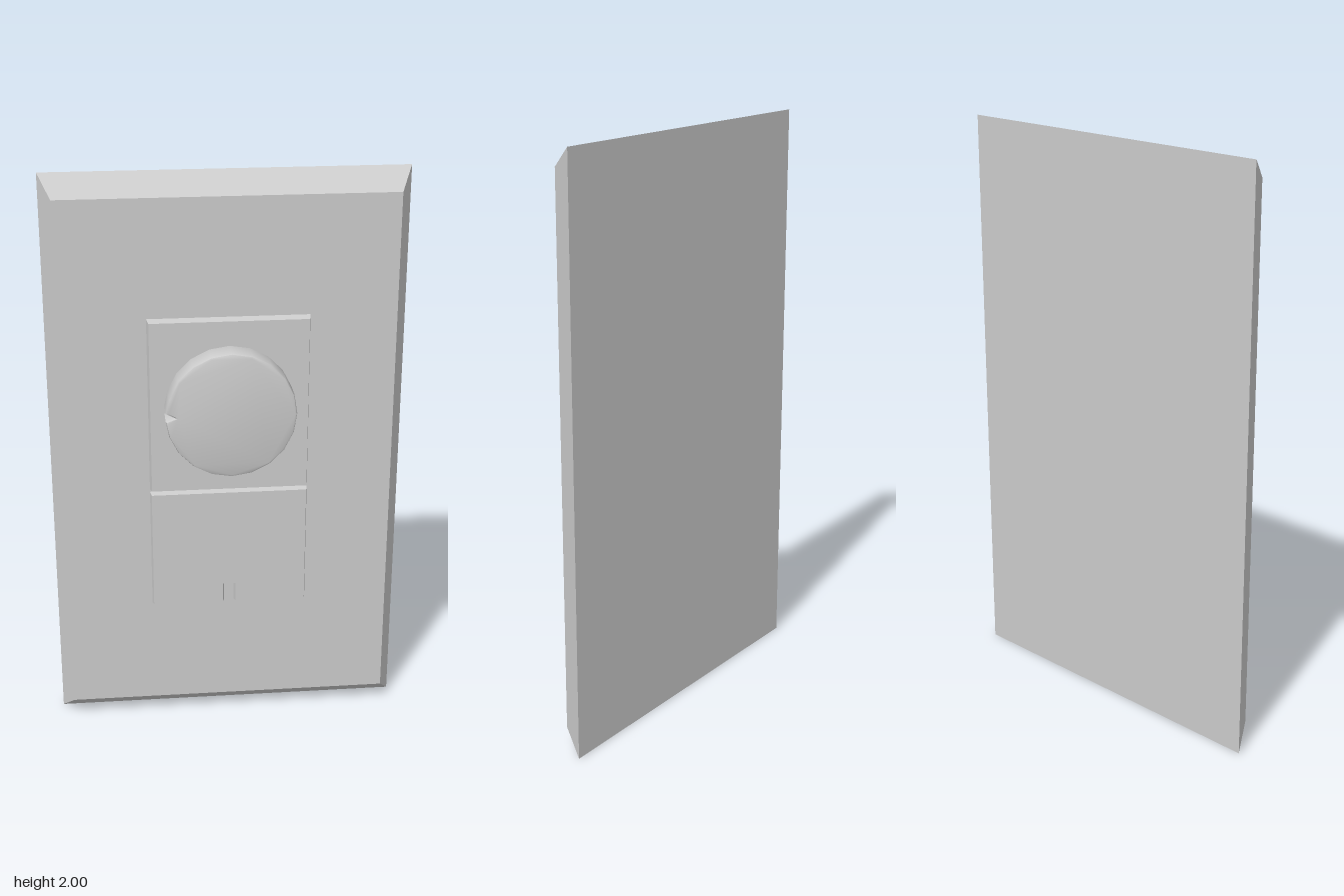
import * as THREE from 'three';
import { toCreasedNormals } from 'three/addons/utils/BufferGeometryUtils.js';

const material = new THREE.MeshStandardMaterial({ color: 0xcccccc });

function part(name, geometry, x, y, z) {
  const mesh = new THREE.Mesh(geometry, material);
  mesh.name = name;
  mesh.position.set(x, y, z);
  return mesh;
}

// Box whose front face is inset by insetX and insetY on every side
function taperedBox(w, h, d, insetX, insetY) {
  const geometry = new THREE.BoxGeometry(w, h, d);
  const p = geometry.attributes.position;
  for (let i = 0; i < p.count; i++) {
    if (p.getZ(i) > 0) {
      p.setX(i, p.getX(i) - Math.sign(p.getX(i)) * insetX);
      p.setY(i, p.getY(i) - Math.sign(p.getY(i)) * insetY);
    }
  }
  const flat = geometry.toNonIndexed();
  flat.computeVertexNormals();
  return flat;
}

function shapeFrom(points) {
  return new THREE.Shape(points.map(([x, y]) => new THREE.Vector2(x, y)));
}

// Round knob with a small pointer notch on its -x edge
function knobGeometry(radius, sides) {
  const points = [];
  for (let i = 0; i < sides; i++) {
    const a = (i / sides) * Math.PI * 2;
    if (i === sides / 2) {
      points.push([-radius, 0.014], [-radius + 0.03, 0], [-radius, -0.014]);
    } else {
      points.push([Math.cos(a) * radius, Math.sin(a) * radius]);
    }
  }
  const geometry = new THREE.ExtrudeGeometry(shapeFrom(points), {
    depth: 0.08, bevelThickness: 0.01, bevelSize: 0.008, bevelOffset: -0.008, bevelSegments: 2,
  });
  return toCreasedNormals(geometry, 0.6);
}

// Rectangular panel with sloped sides and a slot in its lower edge
function slottedPanelGeometry(w, h, slotW, slotH) {
  const x = w / 2, y = h / 2, s = slotW / 2;
  const shape = shapeFrom([
    [-x, -y], [-s, -y], [-s, -y + slotH], [s, -y + slotH],
    [s, -y], [x, -y], [x, y], [-x, y],
  ]);
  return new THREE.ExtrudeGeometry(shape, {
    depth: 0.02, bevelThickness: 0.023, bevelSize: 0.005, bevelOffset: -0.005, bevelSegments: 1,
  });
}

export function createModel() {
  const group = new THREE.Group();
  group.name = 'wallDimmer';

  // Wall plate with bevelled border
  group.add(part('wallPlate', taperedBox(1.22, 2, 0.085, 0.043, 0.07), 0, 1, -0.0575));

  // Raised panel behind the knob
  group.add(part('knobPanel', taperedBox(0.547, 0.617, 0.032, 0.006, 0.006), 0, 1.217, 0.001));

  // Rotary knob
  group.add(part('knob', knobGeometry(0.22, 20), 0, 1.215, 0.01));

  // Lower panel with slot
  group.add(part('lowerPanel', slottedPanelGeometry(0.547, 0.436, 0.034, 0.07), 0, 0.681, -0.035));

  return group;
}
